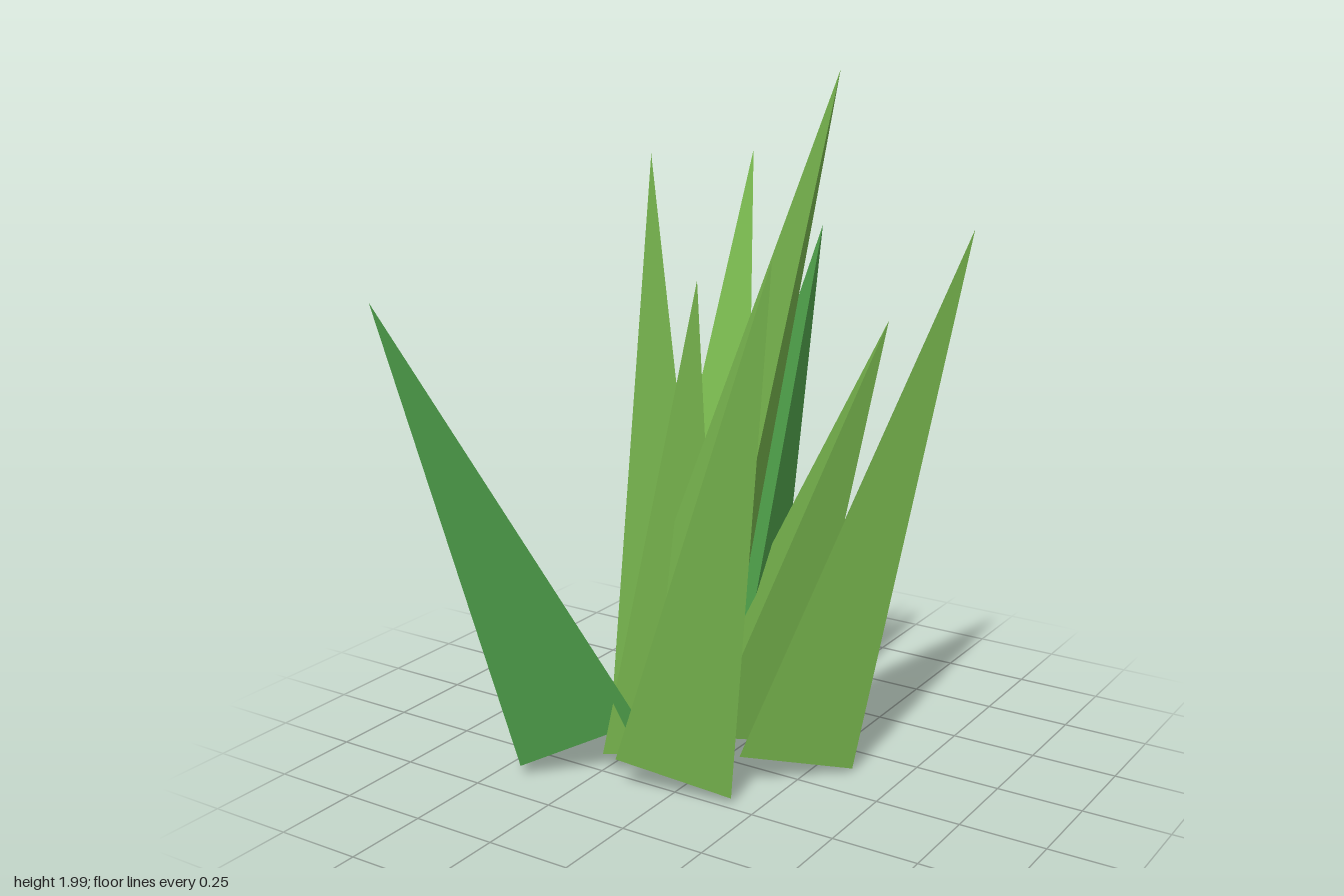
import * as THREE from 'three';

const UP = new THREE.Vector3(0, 1, 0);

// One blade: a three-sided spike from the centre of its foot to its tip.
function blade(name, material, { foot, tip, radius, twist }) {
  const from = new THREE.Vector3(...foot);
  const axis = new THREE.Vector3(...tip).sub(from);
  const height = axis.length();
  const geometry = new THREE.ConeGeometry(
    radius, height, 3, 1, false, THREE.MathUtils.degToRad(twist));
  geometry.translate(0, height / 2, 0);
  const mesh = new THREE.Mesh(geometry, material);
  mesh.name = name;
  mesh.quaternion.setFromUnitVectors(UP, axis.normalize());
  mesh.position.copy(from);
  return mesh;
}

export function createModel() {
  const group = new THREE.Group();
  group.name = 'grassTuft';

  const leafGreen = new THREE.MeshStandardMaterial({ color: 0x78b64e, flatShading: true });
  leafGreen.name = 'leafGreen';
  const deepGreen = new THREE.MeshStandardMaterial({ color: 0x4c9c48, flatShading: true });
  deepGreen.name = 'deepGreen';

  // Yellow-green blades, fanning out around the clump
  const leafBlades = {
    tallBlade: { foot: [-0.095, 0.17, 0.095], tip: [0.445, 2.0, 0.175], radius: 0.197, twist: 48 },
    frontLeftBlade: { foot: [-0.01, 0.085, 0.185], tip: [0.382, 1.56, 0.385], radius: 0.197, twist: -45 },
    leftBlade: { foot: [0.176, 0.085, -0.053], tip: [0.64, 1.58, -0.205], radius: 0.205, twist: -9 },
    rightBlade: { foot: [-0.293, 0.08, -0.03], tip: [-0.478, 1.69, -0.36], radius: 0.2, twist: 5 },
    backRightBlade: { foot: [-0.262, 0.093, -0.235], tip: [-0.323, 1.68, -0.686], radius: 0.2, twist: -33 },
    backLeftBlade: { foot: [-0.027, 0.08, -0.095], tip: [0.305, 1.27, -0.388], radius: 0.2, twist: 8 },
    middleBlade: { foot: [-0.157, 0.08, 0.1], tip: [0.005, 1.437, 0.135], radius: 0.195, twist: -19 },
  };
  // Cooler green blades
  const deepBlades = {
    frontRightBlade: { foot: [-0.34, 0.125, 0.228], tip: [-0.645, 1.4, 0.683], radius: 0.21, twist: -26 },
    backBlade: { foot: [-0.112, 0.08, -0.175], tip: [0.02, 1.5, -0.512], radius: 0.195, twist: 40 },
  };

  for (const [name, spec] of Object.entries(leafBlades)) group.add(blade(name, leafGreen, spec));
  for (const [name, spec] of Object.entries(deepBlades)) group.add(blade(name, deepGreen, spec));
  return group;
}
